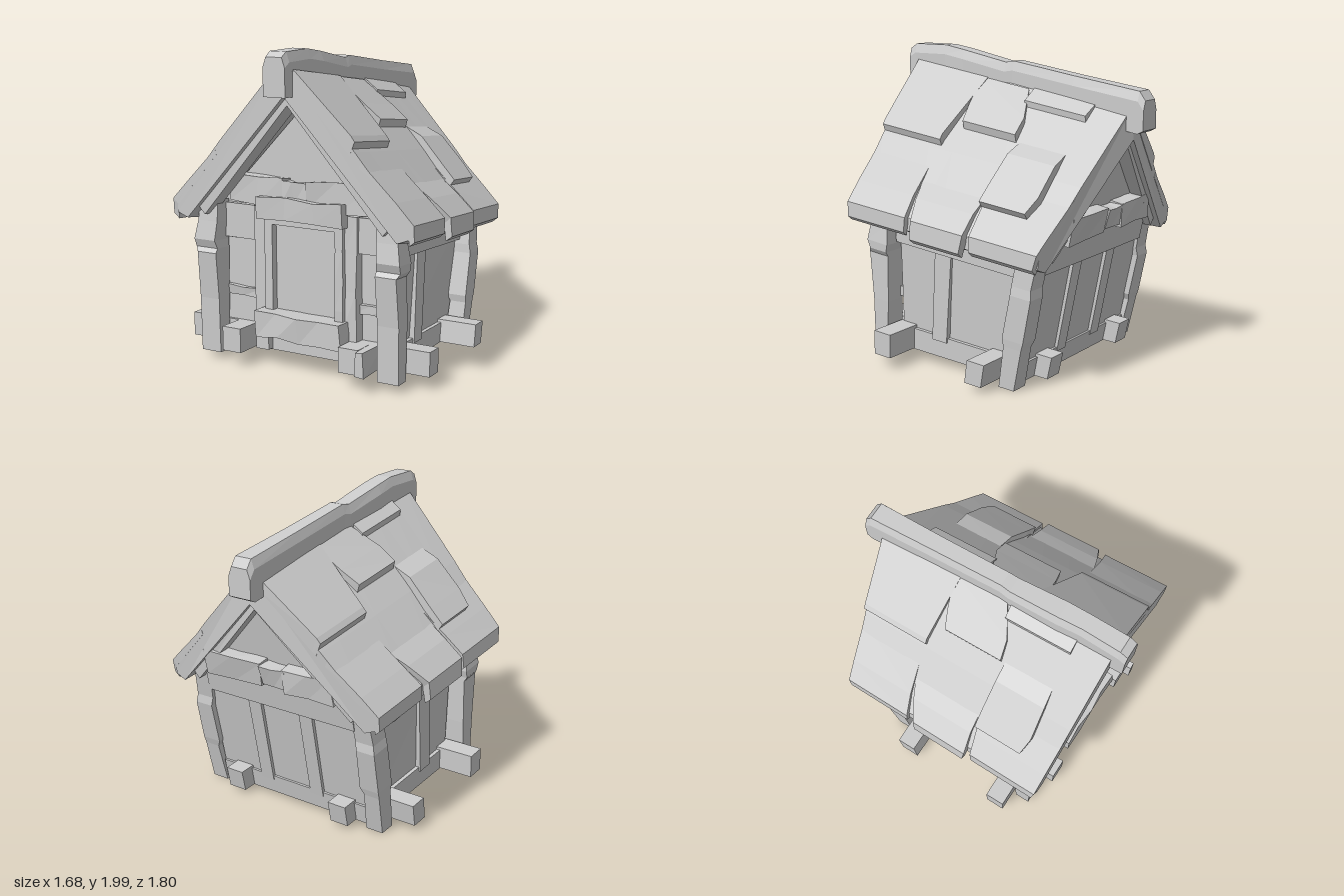
import * as THREE from 'three';

const MAT = new THREE.MeshStandardMaterial({ color: 0xcccccc, flatShading: true });

function addMesh(parent, name, geo) {
  geo.computeVertexNormals();
  const mesh = new THREE.Mesh(geo, MAT);
  mesh.name = name;
  parent.add(mesh);
}

function addGroup(parent, name) {
  const group = new THREE.Group();
  group.name = name;
  parent.add(group);
  return group;
}

// Joins matching rings of points into a closed solid, turned outward by its signed volume
function loft(parent, name, rings) {
  const tris = [];
  const n = rings[0].length;
  for (let i = 0; i < rings.length - 1; i++) {
    for (let j = 0; j < n; j++) {
      const k = (j + 1) % n, a = rings[i], b = rings[i + 1];
      tris.push([a[j], a[k], b[k]], [a[j], b[k], b[j]]);
    }
  }
  const first = rings[0], last = rings[rings.length - 1];
  for (let j = 1; j < n - 1; j++) {
    tris.push([first[0], first[j + 1], first[j]], [last[0], last[j], last[j + 1]]);
  }
  let volume = 0;
  for (const t of tris) {
    const [p, q, r] = t.map((v) => v.clone().sub(first[0]));
    volume += p.dot(q.cross(r));
  }
  if (volume < 0) tris.forEach((t) => t.reverse());
  addMesh(parent, name, new THREE.BufferGeometry().setFromPoints(tris.flat()));
}

// The whole hut sags and leans toward the back
function lean(v) {
  const d = 0.6 - v.z;
  const y = v.y;
  v.y = y - d * (0.05 + 0.08 * y);
  v.z -= 0.19 * y * Math.max(0, d);
  return v;
}

function leanGeometry(geo) {
  const p = geo.attributes.position, v = new THREE.Vector3();
  for (let i = 0; i < p.count; i++) {
    lean(v.fromBufferAttribute(p, i));
    p.setXYZ(i, v.x, v.y, v.z);
  }
  return geo;
}

// Repeatable unevenness taken from a position, so shared corners stay joined
function wobble(v, salt) {
  const s = Math.sin(v.x * 127.1 + v.y * 311.7 + v.z * 74.7 + salt * 19.3) * 437.5;
  return (s - Math.floor(s)) * 2 - 1;
}

// Timber between two corners, with optional roughness and lengthwise segments
function timber(parent, name, lo, hi, rough = 0, segs = [1, 1, 1]) {
  const size = hi.map((h, i) => h - lo[i]);
  const geo = new THREE.BoxGeometry(...size, ...segs).toNonIndexed();
  geo.translate(...hi.map((h, i) => (h + lo[i]) / 2));
  const p = geo.attributes.position, v = new THREE.Vector3();
  for (let i = 0; i < p.count; i++) {
    v.fromBufferAttribute(p, i);
    v.set(...v.toArray().map((c) => Math.round(c * 1000) / 1000));
    p.setXYZ(i, v.x + rough * wobble(v, 1), v.y + rough * wobble(v, 2), v.z + rough * wobble(v, 3));
  }
  addMesh(parent, name, leanGeometry(geo));
}

// Hewn post from stations [y, centre x, centre z, half width, half depth]
function post(parent, name, side, stations) {
  loft(parent, name, stations.map(([y, x, z, w, d]) =>
    [[1, 1], [1, -1], [-1, -1], [-1, 1]].map(([a, b]) => lean(new THREE.Vector3(side * (x + a * w), y, z + b * d)))));
}

// Roof surface: u runs ridge to eave, v front to back, h is the height above it
function roofPoint(side, u, v, h) {
  const mix = THREE.MathUtils.lerp;
  const top = new THREE.Vector3(0, mix(1.955, 1.7, v), mix(0.82, -0.8, v));
  const low = new THREE.Vector3(mix(0.83, 0.81, v), mix(1.03, 0.88, v), mix(0.79, -0.63, v));
  const p = top.lerp(low, u);
  p.x = side * (p.x + h * 0.74 * u);
  p.y += h * mix(1.45, 0.67, u);
  return p;
}

// Board on the roof from rows [u, v start, v end, top, bottom]; the far side is turned half way round
function roofBoard(parent, name, side, rows) {
  const flip = (v) => (side > 0 ? v : 1 - v);
  loft(parent, name, rows.map(([u, v0, v1, top, bottom = -0.04]) => [
    roofPoint(side, u, flip(v0), top), roofPoint(side, u, flip(v1), top),
    roofPoint(side, u, flip(v1), bottom), roofPoint(side, u, flip(v0), bottom),
  ]));
}

function buildRoof(parent) {
  const roof = addGroup(parent, 'roof');
  const eave = [0.97, 0.99, 0.98, 0.97, 1.0, 0.98, 0.99, 1.0, 0.98];
  for (const side of [1, -1]) {
    // Main slab with an uneven eave
    loft(roof, 'roofSlab', eave.map((e, i) => {
      const v = i / (eave.length - 1);
      return [[0, 0], [0.55, 0], [e - 0.01, -0.02], [e + 0.045, -0.07], [e + 0.02, -0.145], [0, -0.15]]
        .map(([u, h]) => roofPoint(side, u, v, h));
    }));
    // Lapped shingles
    roofBoard(roof, 'upperShingle', side, [[0.08, 0, 0.36, 0.012], [0.5, 0, 0.31, 0.045], [0.53, 0, 0.31, 0.04]]);
    roofBoard(roof, 'middleShingle', side, [[0.08, 0.33, 0.56, 0.008], [0.28, 0.35, 0.62, 0.03], [0.4, 0.37, 0.63, 0.045]]);
    roofBoard(roof, 'looseShingle', side, [[0.38, 0.645, 0.86, -0.005], [0.51, 0.645, 0.87, 0.045], [0.7, 0.64, 0.88, 0.045], [0.8, 0.64, 0.865, 0.045]]);
    roofBoard(roof, 'ridgeShingle', side, [[0.06, 0.58, 0.86, 0.006], [0.18, 0.58, 0.86, 0.03]]);
    // Eave boards with gaps between them
    roofBoard(roof, 'eaveBoard', side, [[0.6, 0, 0.3, -0.01], [0.85, 0, 0.31, 0.01], [0.98, 0, 0.325, 0.012], [1.04, 0, 0.32, -0.05, -0.09]]);
    roofBoard(roof, 'eaveBoard', side, [[0.72, 0.3, 0.63, -0.015], [0.86, 0.33, 0.63, 0.012], [0.99, 0.365, 0.64, 0.02], [1.07, 0.365, 0.63, -0.05, -0.1]]);
    roofBoard(roof, 'eaveBoard', side, [[0.6, 0.62, 1, -0.01], [0.85, 0.65, 1, 0.005], [0.98, 0.665, 1, 0.01], [1.045, 0.67, 0.99, -0.05, -0.1]]);
    // Rafters under both gable overhangs
    for (const [v0, v1] of [[0.025, 0.1], [0.9, 0.975]]) {
      roofBoard(roof, 'rafter', side, [[0, v0, v1, -0.13, -0.185], [0.9, v0, v1, -0.13, -0.205]]);
    }
  }
  // Ridge beam stations: z, bottom, top, half width
  const ridge = [[0.9, 1.74, 1.97, 0.073], [0.85, 1.74, 2.0, 0.075], [0.6, 1.72, 2.0, 0.072], [0.45, 1.7, 1.975, 0.078],
    [0.12, 1.66, 1.91, 0.07], [0.06, 1.65, 1.92, 0.065], [-0.4, 1.6, 1.85, 0.07], [-0.86, 1.53, 1.785, 0.08], [-0.9, 1.55, 1.73, 0.08]];
  loft(roof, 'ridgeBeam', ridge.map(([z, b, t, w]) => [[-w, b], [w, b], [w, t - 0.06], [w * 0.72, t], [-w * 0.72, t], [-w, t - 0.06]]
    .map(([x, y]) => new THREE.Vector3(x - 0.012, y, z))));
}

function buildWalls(parent) {
  const walls = addGroup(parent, 'walls');
  // Gabled body
  const outline = new THREE.Shape([[-0.57, 0.09], [0.57, 0.09], [0.6, 1.03], [0, 1.68], [-0.6, 1.03]].map((p) => new THREE.Vector2(...p)));
  const body = new THREE.ExtrudeGeometry(outline, { depth: 0.92, bevelEnabled: false });
  addMesh(walls, 'wallBody', leanGeometry(body.translate(0, 0, -0.36)));

  for (const s of [1, -1]) {
    // Corner posts
    post(walls, 'frontPost', s, [[0.05, 0.625, 0.65, 0.07, 0.05], [0.4, 0.625, 0.645, 0.07, 0.06], [0.7, 0.62, 0.66, 0.068, 0.075],
      [0.73, 0.63, 0.65, 0.078, 0.065], [0.78, 0.635, 0.655, 0.075, 0.08], [0.9, 0.62, 0.65, 0.07, 0.065], [1.04, 0.615, 0.64, 0.065, 0.06]]);
    post(walls, 'backPost', s, [[0.06, 0.63, -0.33, 0.06, 0.055], [0.35, 0.645, -0.33, 0.055, 0.06], [0.4, 0.635, -0.325, 0.068, 0.07],
      [0.7, 0.64, -0.33, 0.065, 0.065], [0.76, 0.63, -0.32, 0.065, 0.06], [1.03, 0.61, -0.32, 0.065, 0.06]]);
    // Side framing
    const sideTimber = (name, y0, y1, z0, z1, out) =>
      timber(walls, name, [s > 0 ? 0.5 : -out, y0, z0], [s > 0 ? out : -0.5, y1, z1]);
    sideTimber('sideTopBeam', 0.79, 1.0, -0.36, 0.57, 0.625);
    sideTimber('sideBottomBeam', 0.09, 0.23, -0.36, 0.57, 0.6);
    sideTimber('sideBatten', 0.2, 0.85, 0.195, 0.305, 0.61);
    // Back battens
    timber(walls, 'backBatten', [s * 0.2 - 0.05, 0.2, -0.38], [s * 0.2 + 0.05, 0.88, -0.3]);
    // Front rails beside the door
    const [a, b] = s > 0 ? [0.34, 0.57] : [-0.57, -0.3];
    timber(walls, 'frontRail', [a, 0.42, 0.5], [b, 0.48, 0.59], 0.006, [2, 1, 1]);
    timber(walls, 'frontTopBeam', [a, 0.8, 0.5], [b, 1.02, 0.61]);
  }
  timber(walls, 'backTopBeam', [-0.57, 0.84, -0.385], [0.57, 1.03, -0.3]);
  timber(walls, 'backBottomBeam', [-0.57, 0.09, -0.375], [0.57, 0.23, -0.3]);
  timber(walls, 'frontBottomBeam', [-0.57, 0.09, 0.5], [0.57, 0.24, 0.575]);

  // Broken tie beams across both gables
  for (const [z0, z1] of [[0.52, 0.65], [-0.435, -0.3]]) {
    for (const [x0, x1, y0, y1] of [[-0.48, -0.12, 1.04, 1.21], [-0.13, 0.05, 1.05, 1.19], [0.05, 0.48, 1.03, 1.21]]) {
      timber(walls, 'tieBeam', [x0, y0, z0], [x1, y1, z1], 0.011, [2, 1, 1]);
    }
  }
}

function buildDoor(parent) {
  const door = addGroup(parent, 'door');
  timber(door, 'doorPanel', [-0.19, 0.25, 0.55], [0.26, 0.95, 0.61]);
  timber(door, 'doorJamb', [-0.33, 0.1, 0.55], [-0.24, 1.02, 0.63]);
  timber(door, 'doorJamb', [0.3, 0.1, 0.55], [0.38, 1.02, 0.63], 0.006, [1, 4, 1]);
  timber(door, 'doorFrame', [-0.24, 0.25, 0.55], [-0.185, 1.0, 0.66]);
  timber(door, 'doorFrame', [0.25, 0.25, 0.55], [0.3, 1.0, 0.66], 0.005, [1, 4, 1]);
  timber(door, 'doorFrame', [-0.185, 0.92, 0.55], [0.25, 0.97, 0.66]);
  timber(door, 'doorLintel', [-0.265, 0.95, 0.56], [0.32, 1.09, 0.71], 0.01, [3, 1, 1]);
  timber(door, 'doorSill', [-0.265, 0.22, 0.56], [0.33, 0.375, 0.75], 0.011, [4, 1, 1]);
}

function buildFoundation(parent) {
  const base = addGroup(parent, 'foundation');
  // Crossed floor beams with protruding ends
  for (const [z0, z1] of [[0.455, 0.58], [-0.245, -0.125]]) timber(base, 'crossBeam', [-0.84, 0.095, z0], [0.84, 0.25, z1]);
  for (const [x, front] of [[-0.425, 0.77], [0.4, 0.78]]) timber(base, 'longBeam', [x - 0.065, 0.095, -0.47], [x + 0.065, 0.25, front]);
  timber(base, 'beamPatch', [0.465, 0.1, 0.55], [0.52, 0.25, 0.82], 0.006);
}

export function createModel() {
  const hut = new THREE.Group();
  hut.name = 'hut';
  buildFoundation(hut);
  buildWalls(hut);
  buildDoor(hut);
  buildRoof(hut);
  return hut;
}
